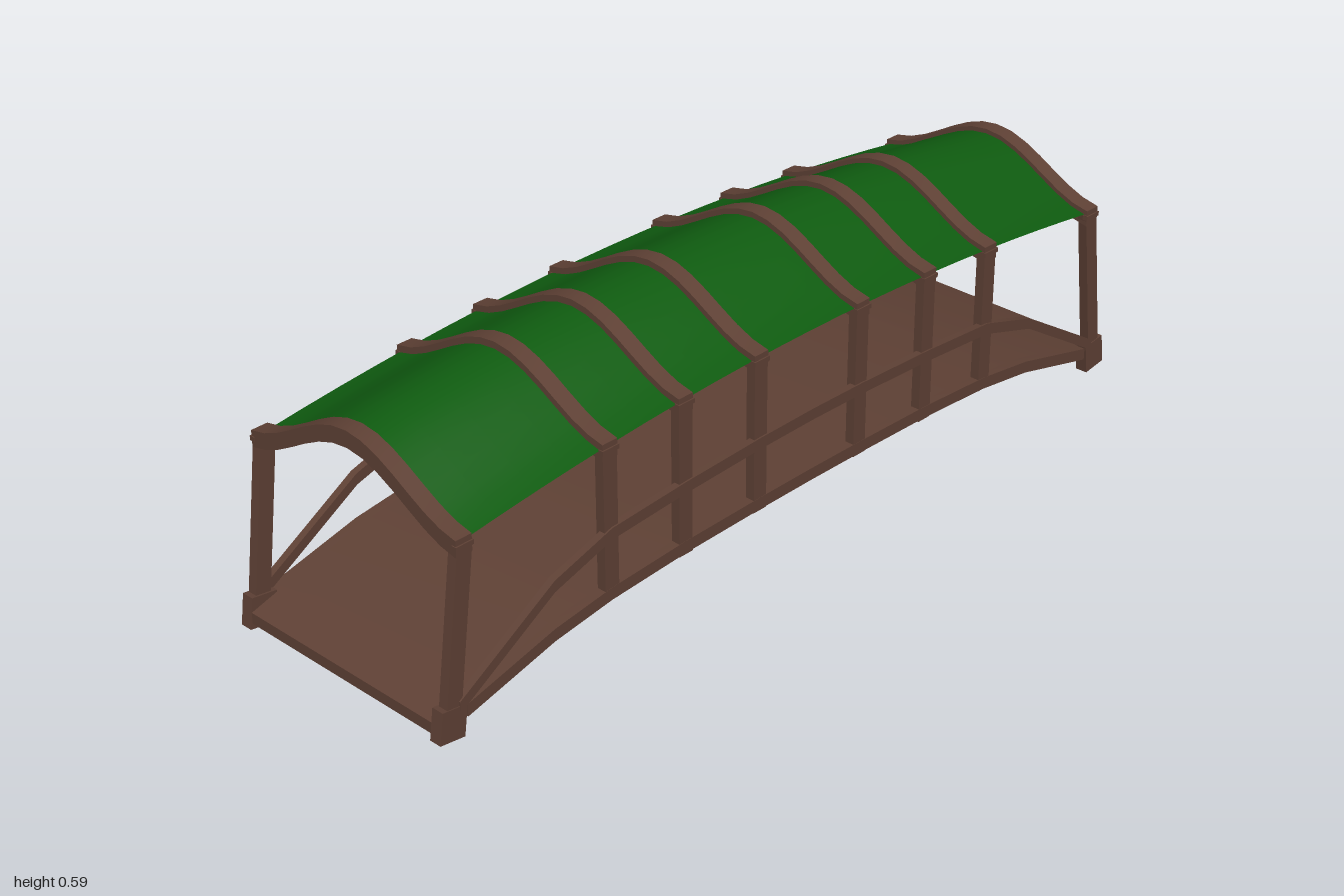
import * as THREE from 'three';
import { toCreasedNormals } from 'three/addons/utils/BufferGeometryUtils.js';

const wood = new THREE.MeshStandardMaterial({ color: 0x5f4135 });
wood.name = 'brown wood';
const green = new THREE.MeshStandardMaterial({ color: 0x0f5c10 });
green.name = 'green roofing';

const ARCHES = [0.15, 0.36, 0.56];
const END = 0.92;

// Ridge height of the arches along the bridge, and drop of the roof across it
const ridge = (x) => 0.587 - 0.075 * x * x;
const drop = (z) => 0.0555 * (1 - Math.cos((Math.PI * z) / 0.3));

// Band of even vertical thickness hanging below a line of [u, v] points
function band(line, thick, depth) {
  const s = new THREE.Shape();
  line.forEach(([u, v], i) => (i ? s.lineTo(u, v) : s.moveTo(u, v)));
  [...line].reverse().forEach(([u, v]) => s.lineTo(u, v - thick));
  const g = new THREE.ExtrudeGeometry(s, { depth, bevelEnabled: false });
  g.translate(0, 0, -depth / 2);
  return toCreasedNormals(g, 0.5);
}

const mirror = (half) => [
  ...half.slice(1).reverse().map(([u, v]) => [-u, v]),
  ...half,
];

export function createModel() {
  const model = new THREE.Group();
  const add = (name, geo, mat = wood, x = 0, y = 0, z = 0) => {
    const m = new THREE.Mesh(geo, mat);
    m.name = name;
    m.position.set(x, y, z);
    model.add(m);
    return m;
  };
  const box = (name, w, h, d, x, y, z) =>
    add(name, new THREE.BoxGeometry(w, h, d), wood, x, y, z);

  // Arched deck with side beams
  const deckLine = mirror([
    [0, 0.154], [0.15, 0.153], [0.36, 0.149], [0.56, 0.138],
    [0.71, 0.118], [0.93, 0.064], [0.995, 0.045],
  ]);
  add('deck', band(deckLine, 0.025, 0.526));
  const beam = band(deckLine.slice(1, -1), 0.027, 0.022);

  // Handrails falling to the feet at both ends
  const railLine = mirror([
    [0, 0.293], [0.15, 0.291], [0.36, 0.283], [0.56, 0.27],
    [0.71, 0.225], [0.95, 0.08],
  ]);
  const rail = band(railLine, 0.025, 0.016);

  for (const side of [1, -1]) {
    add('sideBeam', beam, wood, 0, 0, side * 0.272);
    add('handrail', rail, wood, 0, 0, side * 0.278);

    for (const end of [1, -1]) {
      // Leaning end post and its foot block
      const a = new THREE.Vector2(0.965, 0.04);
      const b = new THREE.Vector2(0.917, 0.405);
      const lean = Math.atan2(a.x - b.x, b.y - a.y);
      const post = box('endPost', 0.036, a.distanceTo(b), 0.022,
        end * (a.x + b.x) / 2, (a.y + b.y) / 2, side * 0.272);
      post.rotation.z = end * lean;
      const foot = box('foot', 0.06, 0.068, 0.028, end * 0.966, 0.038, side * 0.271);
      foot.rotation.z = end * 0.14;
    }

    // Upright posts with a small bracket at the eaves
    for (const x of [...ARCHES, -ARCHES[0], -ARCHES[1], -ARCHES[2]]) {
      const top = ridge(x) - 0.13;
      const foot = 0.125 - 0.045 * x * x;
      box('post', 0.036, top - foot, 0.021, x, (top + foot) / 2, side * 0.272);
    }
    for (const x of [...ARCHES, END]) {
      for (const end of [1, -1]) {
        box('eaveBracket', 0.042, 0.01, 0.012, end * x, ridge(x) - 0.127, side * 0.28);
      }
    }
  }

  // Curved roof arches
  const archLine = [];
  for (let i = 0; i <= 14; i++) {
    const z = -0.283 + (0.566 * i) / 14;
    archLine.push([z, -drop(z)]);
  }
  const arch = band(archLine, 0.036, 0.038).rotateY(Math.PI / 2);
  for (const x of [...ARCHES, END]) {
    add('roofArch', arch, wood, x, ridge(x));
    add('roofArch', arch, wood, -x, ridge(x));
  }

  // Roof sheet: green above, wood below
  const sheet = (turn, offset) => {
    const g = new THREE.PlaneGeometry(1.83, 0.552, 20, 14).rotateX(turn);
    const p = g.attributes.position;
    for (let i = 0; i < p.count; i++) {
      p.setY(i, ridge(p.getX(i)) - drop(p.getZ(i)) - offset);
    }
    g.computeVertexNormals();
    return g;
  };
  add('roofTop', sheet(-Math.PI / 2, 0.013), green);
  add('roofUnderside', sheet(Math.PI / 2, 0.017));

  return model;
}
